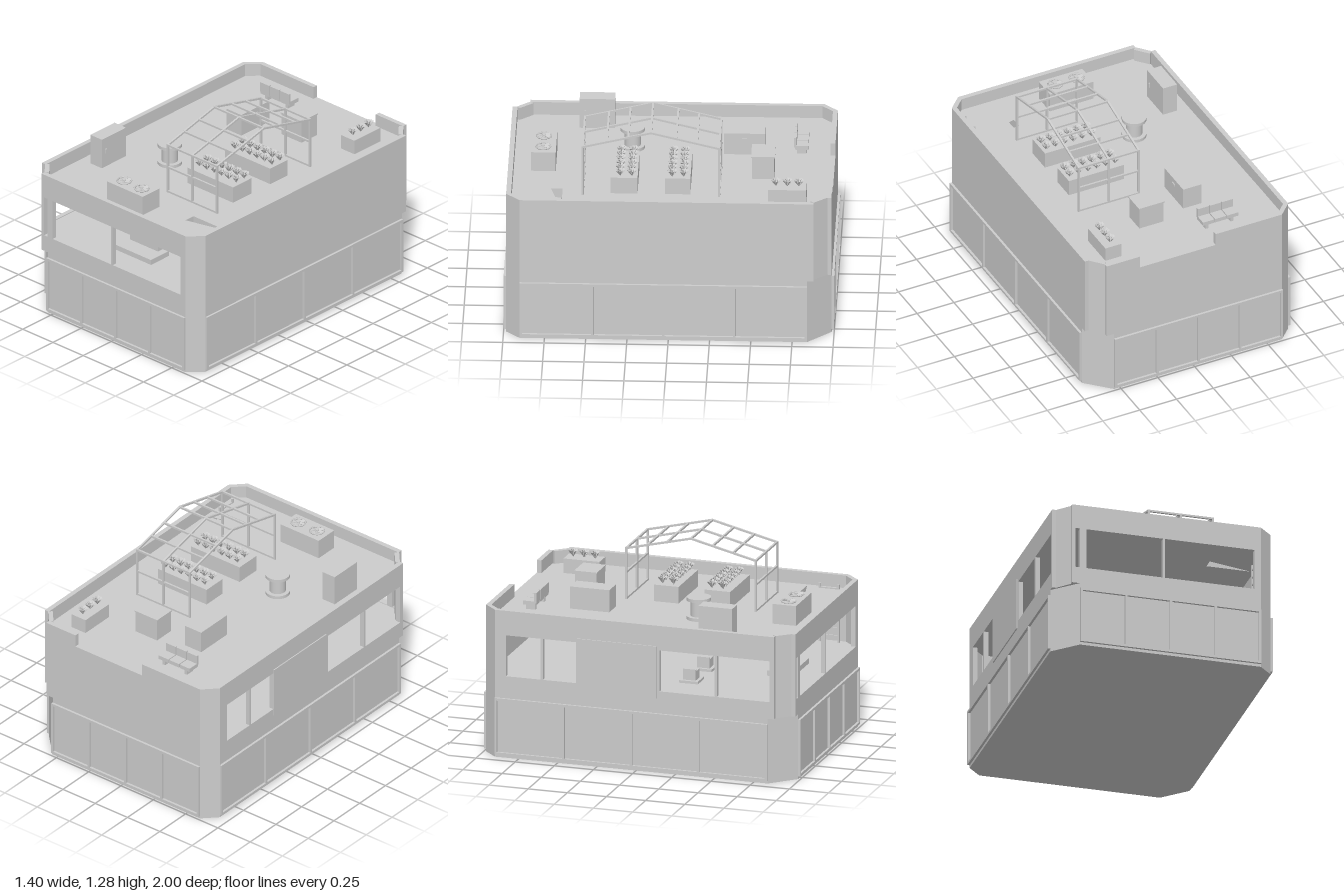
import * as THREE from 'three';
import { mergeGeometries } from 'three/addons/utils/BufferGeometryUtils.js';

const grey = new THREE.MeshStandardMaterial({ color: 0xcccccc, side: THREE.DoubleSide });
grey.name = 'concrete grey';

export function createModel() {
  const root = new THREE.Group();
  root.name = 'rooftopBuilding';

  const add = (name, geo, x = 0, y = 0, z = 0, parent = root) => {
    const m = new THREE.Mesh(geo, grey);
    m.name = name;
    m.position.set(x, y, z);
    parent.add(m);
    return m;
  };
  // box from its lower and upper limits
  const box = (name, x0, x1, y0, y1, z0, z1, parent = root) =>
    add(name, new THREE.BoxGeometry(x1 - x0, y1 - y0, z1 - z0), (x0 + x1) / 2, (y0 + y1) / 2, (z0 + z1) / 2, parent);
  const group = (name) => {
    const g = new THREE.Group();
    g.name = name;
    root.add(g);
    return g;
  };
  const rect = (x0, x1, y0, y1) => [[x0, y0], [x1, y0], [x1, y1], [x0, y1]];
  const toShape = (pts, holes = []) => {
    const s = new THREE.Shape(pts.map((p) => new THREE.Vector2(...p)));
    holes.forEach((h) => s.holes.push(new THREE.Path(h.map((p) => new THREE.Vector2(...p)))));
    return s;
  };
  // horizontal slab from an x/z outline
  const slab = (name, pts, y0, y1, holes = []) => {
    const flip = (list) => list.map(([x, z]) => [x, -z]);
    const g = new THREE.ExtrudeGeometry(toShape(flip(pts), holes.map(flip)), { depth: y1 - y0, bevelEnabled: false });
    return add(name, g.rotateX(-Math.PI / 2), 0, y0, 0);
  };
  // upright plate facing outward at an angle, its outer face at dist
  const wall = (name, pts, holes, angle, dist, t) => {
    const g = new THREE.ExtrudeGeometry(toShape(pts, holes), { depth: t, bevelEnabled: false });
    const m = add(name, g, Math.sin(angle) * (dist - t), 0, Math.cos(angle) * (dist - t));
    m.rotation.y = angle;
  };
  // the plan repeats after half a turn
  const turn = (pts) => pts.map(([x, z]) => [-x, -z]);
  const both = (pts) => [...pts, ...turn(pts)];

  // storeys
  slab('groundStorey', both([[0.685, 0.9], [0.6, 0.985], [-0.54, 0.985], [-0.685, 0.84]]), 0, 0.41);
  slab('upperFloor', both([[0.685, 0.9], [0.6, 0.985], [-0.59, 0.985], [-0.59, 0.96], [-0.66, 0.88], [-0.685, 0.88]]), 0.41, 0.512);
  slab('roofDeck', both([[0.657, 0.89], [0.59, 0.957], [-0.57, 0.957], [-0.645, 0.87]]), 0.79, 0.85,
    [rect(0.355, 0.635, 0.65, 0.935)]);

  // upper walls with parapet
  const F = 0.512, T = 0.93, Q = Math.PI / 2;
  wall('frontWall', rect(-0.59, 0.6, F, T),
    [rect(-0.57, -0.54, 0.516, 0.775), rect(-0.5, -0.017, 0.516, 0.775), rect(-0.003, 0.56, 0.516, 0.775)], 0, 0.985, 0.03);
  wall('backWall', [[-0.59, F], [0.6, F], [0.6, T], [0.15, T], [0.15, 0.85], [-0.365, 0.85], [-0.365, T], [-0.59, T]],
    [], Math.PI, 0.985, 0.03);
  wall('rightSideWall', rect(-0.9, 0.88, F, T), [], Q, 0.685, 0.03);
  wall('leftSideWall', rect(-0.9, 0.88, F, T),
    [rect(-0.83, -0.61, 0.516, 0.775), rect(-0.595, -0.38, 0.516, 0.775), rect(0.15, 0.5, 0.516, 0.775), rect(0.515, 0.85, 0.516, 0.775)],
    -Q, 0.685, 0.03);
  wall('windowShutter', rect(-0.38, 0.13, 0.47, 0.8), [], -Q, 0.692, 0.008);
  const narrow = [[0.685, 0.9], [0.6, 0.985], [0.59, 0.955], [0.655, 0.89]];
  const wide = [[-0.59, 0.96], [-0.66, 0.88], [-0.64, 0.86], [-0.57, 0.94]];
  [narrow, turn(narrow), wide, turn(wide)].forEach((p) => slab('cornerWall', p, F, T));

  // framed panels around the ground storey
  for (let s = 0; s < 4; s++) {
    const side = s % 2, a = side ? -0.9 : -0.54, b = side ? 0.84 : 0.6;
    const w = (b - a - 0.015) / 4;
    const panes = [0, 1, 2, 3].map((i) => rect(a + 0.015 + i * w, a + i * w + w, 0.033, 0.36));
    wall('panelFrame', rect(a, b, 0.018, 0.376), panes, s * Q, side ? 0.7 : 1, 0.015);
  }

  // furniture inside
  const sofa = group('sofa');
  box('sofaBase', -0.16, 0.16, 0.512, 0.545, 0.66, 0.82, sofa);
  box('sofaBack', -0.115, 0.115, 0.545, 0.62, 0.67, 0.71, sofa);
  for (const x of [-0.445, -0.18]) {
    const chair = group('armchair');
    box('chairBase', x - 0.02, x + 0.1, 0.512, 0.528, 0.2, 0.32, chair);
    box('chairSeat', x, x + 0.075, 0.528, 0.585, 0.22, 0.3, chair);
    box('chairBack', x, x + 0.012, 0.585, 0.597, 0.22, 0.3, chair);
  }
  box('cabinet', 0.28, 0.39, 0.512, 0.61, 0.1, 0.25);

  // hatch ladder
  const ladder = group('hatchLadder');
  for (const z of [0.73, 0.85]) box('ladderRail', 0.612, 0.624, 0.512, 0.88, z, z + 0.012, ladder);
  for (let y = 0.55; y < 0.87; y += 0.05) box('ladderRung', 0.614, 0.622, y, y + 0.008, 0.73, 0.86, ladder);

  // roof cabinets
  const R = 0.85;
  box('tallCabinet', -0.57, -0.475, R, 1.045, 0.36, 0.575);
  box('tallCabinetHandle', -0.475, -0.468, 0.94, 0.97, 0.535, 0.545);
  box('lowCabinet', -0.27, -0.145, R, 0.99, -0.56, -0.31);
  box('lowCabinetHandle', -0.145, -0.138, 0.945, 0.96, -0.45, -0.42);
  box('squareCabinet', 0.02, 0.185, R, 0.992, -0.625, -0.49);
  box('squareCabinetLid', 0.015, 0.19, 0.992, 1.0, -0.63, -0.485);

  // cooling unit with two fans
  const cooler = group('coolingUnit');
  box('coolerBox', -0.175, 0.12, R, 0.975, 0.7, 0.85, cooler);
  for (const x of [-0.1, 0.045]) {
    const ring = add('fanRing', new THREE.TorusGeometry(0.044, 0.005, 6, 20), x, 0.98, 0.778, cooler);
    ring.rotation.x = Q;
    add('fanHub', new THREE.CylinderGeometry(0.012, 0.012, 0.015, 10), x, 0.982, 0.778, cooler);
    for (let i = 0; i < 6; i++) {
      const blade = new THREE.BoxGeometry(0.032, 0.003, 0.018).rotateX(0.4).translate(0.026, 0, 0);
      add('fanBlade', blade, x, 0.983, 0.778, cooler).rotation.y = (i * Math.PI) / 3;
    }
  }

  // round spool table
  const spool = group('spoolTable');
  for (const y of [0.862, 0.98]) add('spoolDisc', new THREE.CylinderGeometry(0.075, 0.075, 0.02, 24), -0.22, y, 0.245, spool);
  add('spoolCore', new THREE.CylinderGeometry(0.05, 0.05, 0.1, 20), -0.22, 0.92, 0.245, spool);

  // bench with three seats
  const bench = group('bench');
  for (let i = 0; i < 3; i++) {
    const x = -0.388 + i * 0.082;
    box('seat', x, x + 0.076, 0.885, 0.91, -0.82, -0.74, bench);
    box('seatBack', x, x + 0.076, 0.9, 0.965, -0.75, -0.735, bench);
  }
  for (const x of [-0.36, -0.19]) box('benchLeg', x, x + 0.02, R, 0.89, -0.81, -0.75, bench);

  // planters with leafy plants
  const leafy = () => {
    const pos = [];
    for (const [n, r, h, shift] of [[8, 0.03, 0.045, 0], [5, 0.016, 0.053, 0.4]]) {
      for (let i = 0; i < n; i++) {
        const a = (i / n) * Math.PI * 2 + shift, c = 0.3;
        pos.push(0, 0, 0, r * Math.cos(a + c), h * 0.85, r * Math.sin(a + c), r * Math.cos(a - c), h, r * Math.sin(a - c));
        pos.push(0, h * 0.6, 0, r * Math.cos(a - c), h, r * Math.sin(a - c), r * Math.cos(a + c), h * 0.85, r * Math.sin(a + c));
      }
    }
    const g = new THREE.BufferGeometry();
    g.setAttribute('position', new THREE.Float32BufferAttribute(pos, 3));
    g.computeVertexNormals();
    return g;
  };
  const planter = (x0, x1, top, z0, z1, spots) => {
    const p = group('planter');
    box('planterBox', x0, x1, R, top, z0, z1, p);
    const plants = spots.map(([x, z], i) => leafy().rotateY(i * 1.3).translate(x, top, z));
    add('plants', mergeGeometries(plants), 0, 0, 0, p);
  };
  const rows = (zs) => zs.flatMap((z) => [0, 1, 2, 3, 4, 5].map((i) => [0.078 + i * 0.061, z]));
  planter(0.035, 0.41, 0.955, -0.125, 0.03, rows([-0.085, -0.015]));
  planter(0.035, 0.41, 0.955, 0.195, 0.36, rows([0.23, 0.3]));
  planter(0.41, 0.52, 0.942, -0.83, -0.6, [-0.785, -0.715, -0.645].map((z) => [0.465, z]));

  // greenhouse frame
  const house = group('greenhouseFrame');
  const bar = (name, a, b) => {
    const p = new THREE.Vector3(...a), q = new THREE.Vector3(...b);
    const m = add(name, new THREE.BoxGeometry(0.012, 0.012, p.distanceTo(q) + 0.008), 0, 0, 0, house);
    m.position.copy(p).lerp(q, 0.5);
    m.lookAt(q);
  };
  const x0 = 0.026, x1 = 0.432, zb = -0.3, zf = 0.526, ridge = 0.113;
  for (const x of [x0, (x0 + x1) / 2, x1]) {
    for (const z of [zb, zf]) {
      bar('post', [x, R, z], [x, 1.172, z]);
      bar('rafter', [x, 1.172, z], [x, 1.272, ridge]);
    }
  }
  for (const z of [zb, -0.165, -0.04, ridge, 0.25, 0.38, zf]) {
    const y = 1.272 - (0.1 * Math.abs(z - ridge)) / (zf - ridge);
    bar('purlin', [x0, y, z], [x1, y, z]);
  }
  for (const z of [zb, zf]) {
    bar('endRail', [x0, 1.022, z], [x1, 1.022, z]);
    bar('sillRail', [x0, 0.857, z], [x1, 0.857, z]);
  }
  return root;
}
